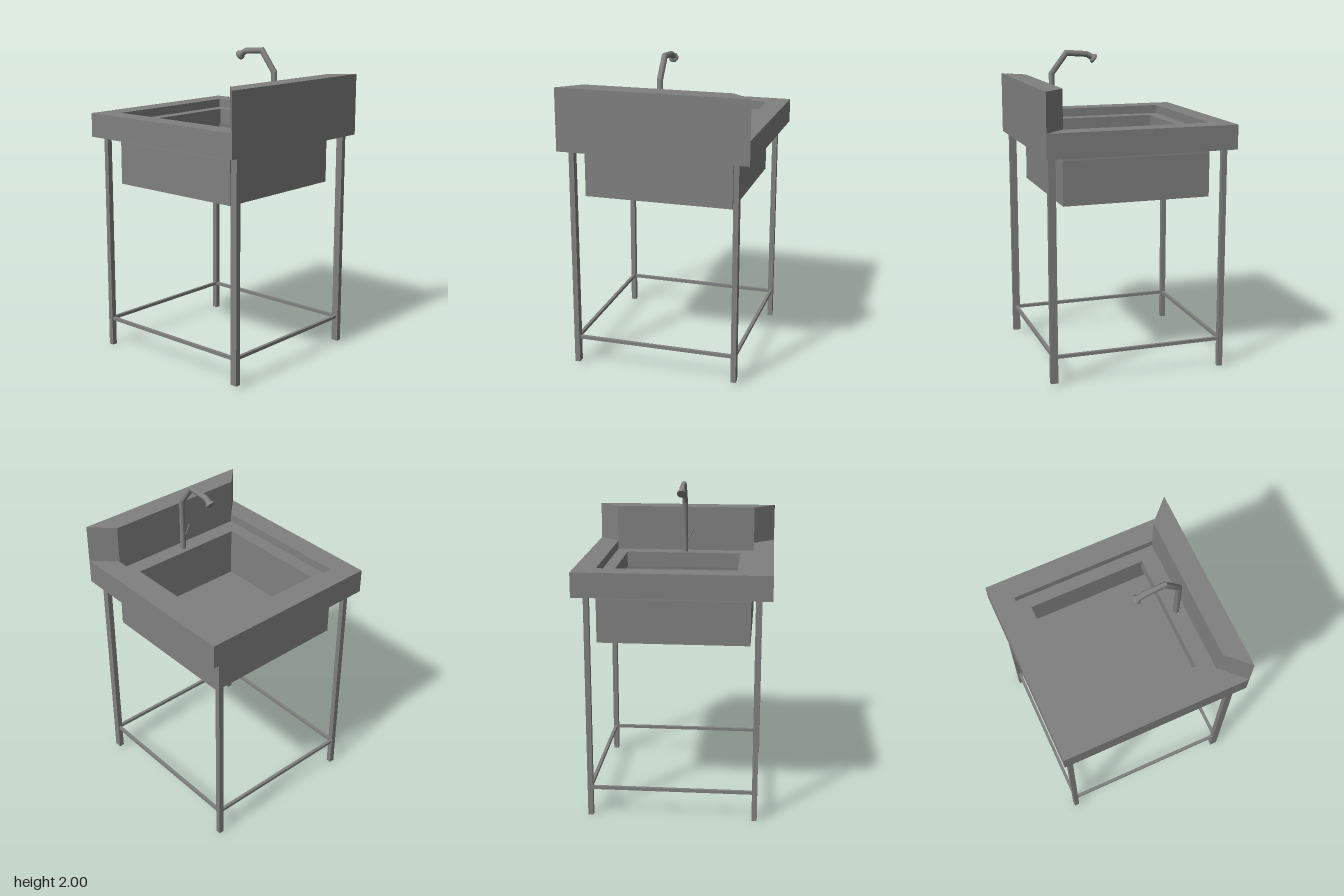
import * as THREE from 'three';
import { mergeGeometries, toCreasedNormals } from 'three/addons/utils/BufferGeometryUtils.js';

const solid = new THREE.MeshStandardMaterial({ color: 0x808080 });
const sheet = new THREE.MeshStandardMaterial({ color: 0x808080, side: THREE.DoubleSide });

// Rectangle given as [x0, x1, z0, z1]
const OUTER = [-0.6, 0.6, -0.6, 0.6];
const OPENING = [-0.465, 0.465, -0.465, 0.465];
const INNER = [-0.388, 0.36, -0.388, 0.377];
const TUB = [-0.47, 0.47, -0.47, 0.47];

const corners = ([x0, x1, z0, z1], y) => [[x0, y, z1], [x1, y, z1], [x1, y, z0], [x0, y, z0]];

// Four sheet-metal faces joining a lower rectangle to an upper one
function band(a, ya, b, yb) {
  const lo = corners(a, ya), hi = corners(b, yb), pos = [];
  for (let i = 0; i < 4; i++) {
    const j = (i + 1) % 4;
    pos.push(...lo[i], ...lo[j], ...hi[j], ...lo[i], ...hi[j], ...hi[i]);
  }
  const g = new THREE.BufferGeometry();
  g.setAttribute('position', new THREE.Float32BufferAttribute(pos, 3));
  g.computeVertexNormals();
  return g;
}

// Mitred round pipe along [x, y, radius] points in the z = 0 plane, capped at its end
function pipe(points, sides = 12) {
  const pos = [], idx = [];
  const P = points.map(([x, y]) => new THREE.Vector2(x, y));
  const last = points.length - 1, tip = points.length * sides;
  points.forEach(([x, y, r], i) => {
    const before = P[i].clone().sub(P[Math.max(i - 1, 0)]).normalize();
    const after = P[Math.min(i + 1, last)].clone().sub(P[i]).normalize();
    const t = before.clone().add(after).normalize();
    const miter = i > 0 && i < last ? 1 / t.dot(after) : 1;
    for (let k = 0; k < sides; k++) {
      const a = (k / sides) * Math.PI * 2, c = Math.cos(a) * r * miter;
      pos.push(x - t.y * c, y + t.x * c, Math.sin(a) * r);
      const p = i * sides + k, q = i * sides + (k + 1) % sides;
      if (i < last) idx.push(p, q, p + sides, q, q + sides, p + sides);
      else idx.push(p, q, tip);
    }
  });
  pos.push(points[last][0], points[last][1], 0);
  const g = new THREE.BufferGeometry();
  g.setAttribute('position', new THREE.Float32BufferAttribute(pos, 3));
  g.setIndex(idx);
  return toCreasedNormals(g, 0.7);
}

export function createModel() {
  const model = new THREE.Group();
  model.name = 'sinkTable';
  const add = (name, geometry, material = solid, x = 0, y = 0, z = 0) => {
    const m = new THREE.Mesh(geometry, material);
    m.name = name;
    m.position.set(x, y, z);
    model.add(m);
    return m;
  };

  // Hollow worktop with a recessed ledge around the bowl
  add('worktopSkirt', band(OUTER, 1.417, OUTER, 1.57), sheet);
  add('worktopSurface', band(OUTER, 1.57, OPENING, 1.57), sheet);
  add('openingWall', band(OPENING, 1.515, OPENING, 1.57), sheet);
  add('ledge', band(OPENING, 1.515, INNER, 1.515), sheet);
  add('bowlLip', band(INNER, 1.415, INNER, 1.515), sheet);

  // Tub below, held to the ledge by its corners
  add('tubWall', mergeGeometries([band(TUB, 1.107, TUB, 1.38), band(TUB, 1.38, OPENING, 1.417)]), sheet);
  add('tubFloor', new THREE.PlaneGeometry(0.94, 0.94).rotateX(-Math.PI / 2), sheet, 0, 1.107, 0);
  for (const sx of [-1, 1]) {
    for (const sz of [-1, 1]) {
      const tab = new THREE.PlaneGeometry(0.09, 0.098);
      add('tubCornerTab', tab, sheet, sx * 0.42, 1.466, sz * 0.465);
      add('tubCornerTab', tab.clone().rotateY(Math.PI / 2), sheet, sx * 0.465, 1.466, sz * 0.42);
    }
  }

  // Splashback with mitred ends
  const plan = new THREE.Shape([
    new THREE.Vector2(0.465, -0.465), new THREE.Vector2(0.6, -0.6),
    new THREE.Vector2(0.6, 0.6), new THREE.Vector2(0.465, 0.465),
  ]);
  const splash = new THREE.ExtrudeGeometry(plan, { depth: 0.24, bevelEnabled: false });
  add('splashback', splash.rotateX(-Math.PI / 2), solid, 0, 1.57, 0);

  // Legs: the pair under the splashback is wider and slightly shorter
  for (const sz of [-1, 1]) {
    add('leg', new THREE.BoxGeometry(0.033, 1.417, 0.033), solid, -0.545, 0.7085, sz * 0.515);
    add('splashbackLeg', new THREE.BoxGeometry(0.046, 1.4, 0.033), solid, 0.552, 0.717, sz * 0.515);
    add('sideRail', new THREE.BoxGeometry(1.09, 0.02, 0.02), solid, 0, 0.183, sz * 0.515);
  }
  for (const x of [-0.545, 0.55]) {
    add('endRail', new THREE.BoxGeometry(0.02, 0.02, 1.02), solid, x, 0.183, 0);
  }

  // Tap: bent pipe ending in a flared nozzle
  add('tap', pipe([
    [0.408, 1.515, 0.0185], [0.408, 1.855, 0.0185], [0.312, 1.981, 0.0185], [0.18, 1.971, 0.0185],
    [0.148, 1.953, 0.019], [0.138, 1.946, 0.03], [0.128, 1.939, 0.03],
  ]));
  const lever = add('tapLever', new THREE.CylinderGeometry(0.004, 0.004, 0.1, 8), solid, 0.41, 1.625, 0.035);
  lever.rotation.x = 0.48;

  return model;
}
